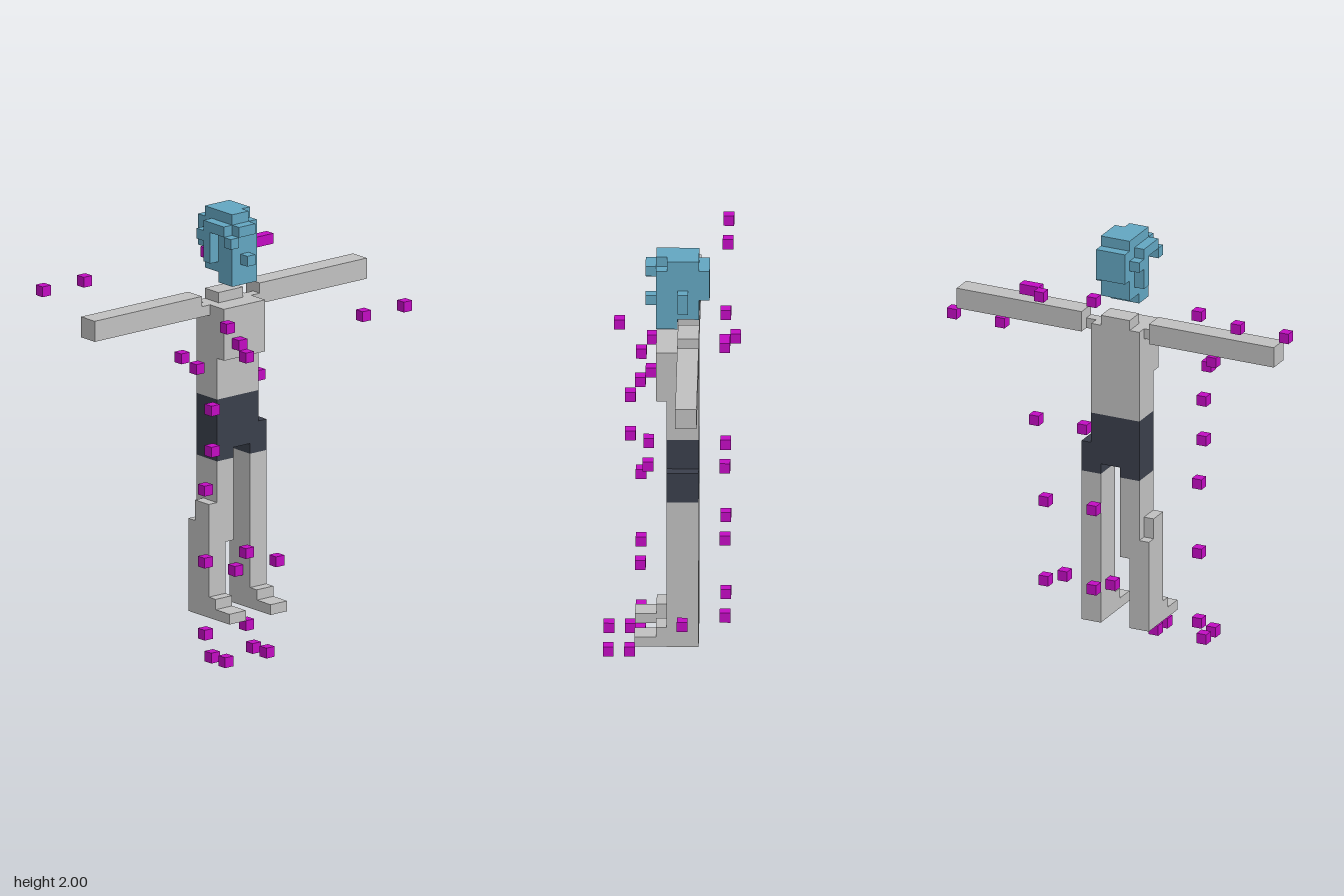
import * as THREE from 'three';

const S = 2 / 42; // one cell of the block grid

const material = (name, color) => {
  const m = new THREE.MeshStandardMaterial({ color });
  m.name = name;
  return m;
};

export function createModel() {
  const model = new THREE.Group();
  model.name = 'blockFigure';
  const grey = material('light grey', 0xc0c0c0);
  const navy = material('dark navy', 0x3a3f4b);
  const teal = material('teal blue', 0x63a6c1);
  const magenta = material('magenta', 0xc20cc2);

  // Box filling an inclusive range of cells; x and z cells are centred on 0
  const block = (parent, name, mat, [x0, x1], [y0, y1], [z0, z1]) => {
    const geo = new THREE.BoxGeometry((x1 - x0 + 1) * S, (y1 - y0 + 1) * S, (z1 - z0 + 1) * S);
    const mesh = new THREE.Mesh(geo, mat);
    mesh.name = name;
    mesh.position.set((x0 + x1) / 2 * S, (y0 + y1 + 1) / 2 * S, (z0 + z1) / 2 * S);
    parent.add(mesh);
  };
  const part = (name) => {
    const g = new THREE.Group();
    g.name = name;
    model.add(g);
    return g;
  };

  // Torso and neck
  const torso = part('torso');
  block(torso, 'belly', grey, [-2, 2], [24, 27], [-2, 0]);
  block(torso, 'chest', grey, [-2, 2], [28, 32], [-2, 1]);
  block(torso, 'neck', grey, [-1, 1], [33, 33], [-2, -1]);

  // Arms held straight out, each on a small shoulder joint
  for (const [side, s] of [['left', 1], ['right', -1]]) {
    const arm = part(side + 'Arm');
    const span = (a, b) => (s > 0 ? [a, b] : [-b, -a]);
    block(arm, 'shoulder', grey, span(3, 3), [32, 32], [-1, -1]);
    block(arm, 'arm', grey, span(4, 16), [32, 33], [-2, -1]);
  }

  // Shorts
  const shorts = part('shorts');
  block(shorts, 'waist', navy, [-2, 2], [19, 23], [-2, 0]);
  block(shorts, 'leftHip', navy, [3, 3], [18, 20], [-2, 0]);
  block(shorts, 'leftCuff', navy, [2, 2], [18, 18], [-2, 0]);
  block(shorts, 'rightCuff', navy, [-2, -1], [18, 18], [-2, 0]);

  // Straight left leg, right leg offset at the knee
  const leftLeg = part('leftLeg');
  block(leftLeg, 'leg', grey, [2, 3], [3, 17], [-2, 0]);
  const rightLeg = part('rightLeg');
  block(rightLeg, 'thigh', grey, [-2, -1], [10, 17], [-2, 0]);
  block(rightLeg, 'calf', grey, [-3, -2], [3, 9], [-2, 0]);
  block(rightLeg, 'kneeBack', grey, [-3, -3], [10, 11], [-2, -2]);
  block(rightLeg, 'kneeSide', grey, [-3, -3], [10, 13], [-1, 0]);
  for (const [leg, xs] of [[leftLeg, [2, 3]], [rightLeg, [-3, -2]]]) {
    block(leg, 'instep', grey, xs, [4, 4], [1, 1]);
    block(leg, 'foot', grey, xs, [3, 3], [1, 3]);
  }

  // Head with jaw, nose, ears and swept fringe
  const head = part('head');
  block(head, 'jaw', teal, [-1, 1], [35, 35], [0, 1]);
  block(head, 'skull', teal, [-1, 1], [36, 40], [-2, 1]);
  block(head, 'crown', teal, [-1, 0], [41, 41], [-2, 1]);
  block(head, 'crownSide', teal, [1, 1], [41, 41], [-2, 0]);
  block(head, 'backHair', teal, [-1, 1], [38, 40], [-3, -3]);
  block(head, 'nose', teal, [0, 0], [37, 37], [2, 2]);
  block(head, 'leftEar', teal, [2, 2], [37, 38], [-1, -1]);
  block(head, 'rightEar', teal, [-2, -2], [37, 38], [-1, -1]);
  block(head, 'fringe', teal, [-1, 0], [40, 40], [2, 2]);
  block(head, 'fringeTip', teal, [-2, -2], [39, 39], [2, 2]);
  block(head, 'sideHair', teal, [-2, -2], [40, 40], [-1, 1]);
  block(head, 'sideHairBack', teal, [-2, -2], [39, 39], [-2, -1]);

  // Floating marker cubes: [x, y, z] cells
  const markers = part('markers');
  const cells = [
    [-19, 36, -5], [-14, 36, -5], [1, 36, -5], [6, 36, -6], [7, 36, -5], [8, 36, -5],
    [-5, 32, 5], [-8, 29, 2], [-7, 28, 3], [-1, 29, 2], [-1, 28, 3], [14, 29, 2], [19, 29, 2],
    [-6, 24, 4], [-6, 20, 4], [-6, 16, 3], [2, 23, -5], [7, 23, -5],
  ];
  for (const x of [1, 6]) cells.push([x, 15, -5], [x, 7, -5], [x, 6, -1]);
  for (const x of [-6, -1]) cells.push([x, 9, 3], [x, 2, 3], [x, 0, 4], [x, 0, 6]);
  for (const [x, y, z] of cells) block(markers, 'marker', magenta, [x, x], [y, y], [z, z]);

  return model;
}
